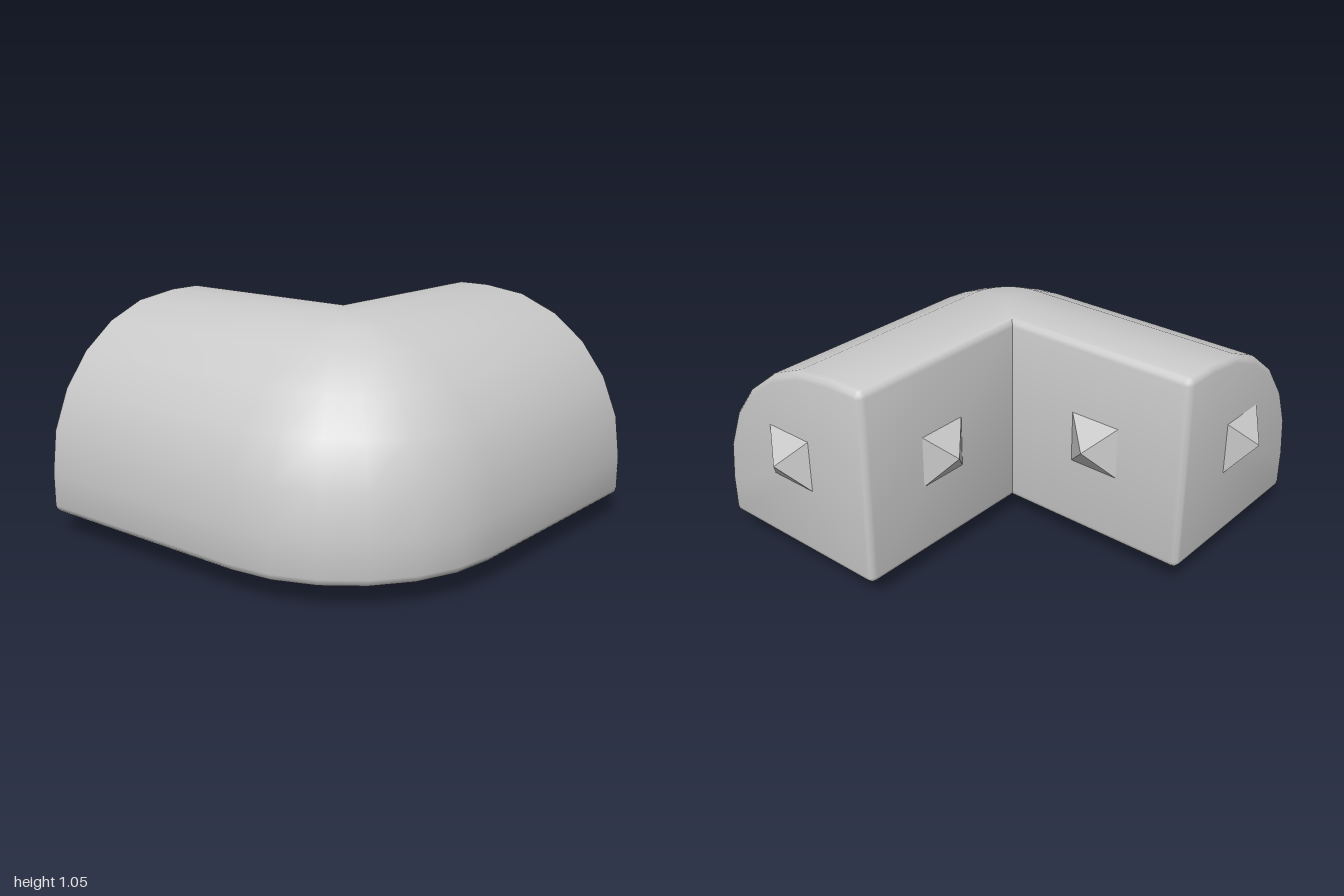
import * as THREE from 'three';
import { toCreasedNormals } from 'three/addons/utils/BufferGeometryUtils.js';

const BOTTOM = 0.1, TOP = 1.05, END = 0.9;
const R = 0.76;       // radius of the rounded shoulder and of the rounded corner
const C = 0.24;       // corner centre at x = -C, z = C
const INNER = -0.19;  // inner wall, measured outward from the corner centre
const BEVEL = 0.035;

const material = new THREE.MeshStandardMaterial({ color: 0xcccccc });

// Cross-section as [outward offset, height], shrunk inward by e
function section(e) {
  const pts = [];
  const arc = (cx, cy, radius, from, steps) => {
    for (let i = 0; i <= steps; i++) {
      const a = from + (i / steps) * Math.PI / 2;
      // the shoulder ends exactly on the corner axis
      const c = Math.cos(a), s = Math.sin(a);
      pts.push([cx + radius * (Math.abs(c) < 1e-9 ? 0 : c), cy + radius * s]);
    }
  };
  const b = BEVEL - e;
  arc(0, TOP - R, R - e, 0, 6);
  arc(INNER + BEVEL, TOP - BEVEL, b, Math.PI / 2, 3);
  arc(INNER + BEVEL, BOTTOM + BEVEL, b, Math.PI, 3);
  arc(R - BEVEL, BOTTOM + BEVEL, b, Math.PI * 1.5, 3);
  return pts;
}

// L-shaped body: the section runs along one arm, round the corner, along the other
function bodyGeometry() {
  const V = (x, y, z) => new THREE.Vector3(x, y, z);
  const rings = [], armB = [];
  // rounded arm ends
  for (let i = 0; i <= 3; i++) {
    const t = (1 - i / 3) * Math.PI / 2;
    const s = section(BEVEL * (1 - Math.cos(t)));
    const p = END - BEVEL * (1 - Math.sin(t));
    rings.push(s.map(([r, y]) => V(-C - r, y, -p)));
    armB.unshift(s.map(([r, y]) => V(p, y, C + r)));
  }
  // corner: outer points turn, inner points meet in a mitre
  for (let i = 0; i <= 6; i++) {
    const a = (i / 6) * Math.PI / 2;
    rings.push(section(0).map(([r, y]) => r < 0
      ? V(-C - r, y, C + r)
      : V(-C - r * Math.cos(a), y, C + r * Math.sin(a))));
  }
  rings.push(...armB);

  const pos = [];
  const tri = (a, b, c) => {
    const area = b.clone().sub(a).cross(c.clone().sub(a)).length();
    if (area > 1e-9) for (const p of [a, b, c]) pos.push(p.x, p.y, p.z);
  };
  const n = rings[0].length;
  for (let k = 0; k < rings.length - 1; k++) {
    for (let i = 0; i < n; i++) {
      const j = (i + 1) % n, p = rings[k], q = rings[k + 1];
      tri(p[i], q[i], q[j]);
      tri(p[i], q[j], p[j]);
    }
  }
  // flat end faces
  const first = rings[0], last = rings[rings.length - 1];
  const c0 = V(-0.4, 0.55, -END), c1 = V(END, 0.55, 0.4);
  for (let i = 0; i < n; i++) {
    const j = (i + 1) % n;
    tri(c0, first[i], first[j]);
    tri(c1, last[j], last[i]);
  }
  const geo = new THREE.BufferGeometry();
  geo.setAttribute('position', new THREE.Float32BufferAttribute(pos, 3));
  return toCreasedNormals(geo, 0.7);
}

export function createModel() {
  const model = new THREE.Group();

  const body = new THREE.Mesh(bodyGeometry(), material);
  body.name = 'cornerBody';
  model.add(body);

  // Pyramid studs: name, base position, direction
  const studMaterial = material.clone();
  studMaterial.flatShading = true;
  const studGeo = new THREE.ConeGeometry(0.125 * Math.SQRT2, 0.1, 4, 1, false, Math.PI / 4);
  studGeo.translate(0, 0.05, 0);
  const mid = 0.575, up = new THREE.Vector3(0, 1, 0);
  const studs = [
    ['backEndStud', [-0.525, mid, -END], [0, 0, -1]],
    ['leftEndStud', [END, mid, 0.525], [1, 0, 0]],
    ['innerLeftStud', [-0.05, mid, -0.43], [1, 0, 0]],
    ['innerBackStud', [0.43, mid, 0.05], [0, 0, -1]],
    ['cornerFootStud', [-0.525, BOTTOM, 0.525], [0, -1, 0]],
    ['leftFootStud', [0.425, BOTTOM, 0.525], [0, -1, 0]],
    ['backFootStud', [-0.525, BOTTOM, -0.425], [0, -1, 0]],
  ];
  for (const [name, at, dir] of studs) {
    const stud = new THREE.Mesh(studGeo, studMaterial);
    stud.name = name;
    stud.position.set(...at);
    stud.quaternion.setFromUnitVectors(up, new THREE.Vector3(...dir));
    model.add(stud);
  }
  return model;
}
